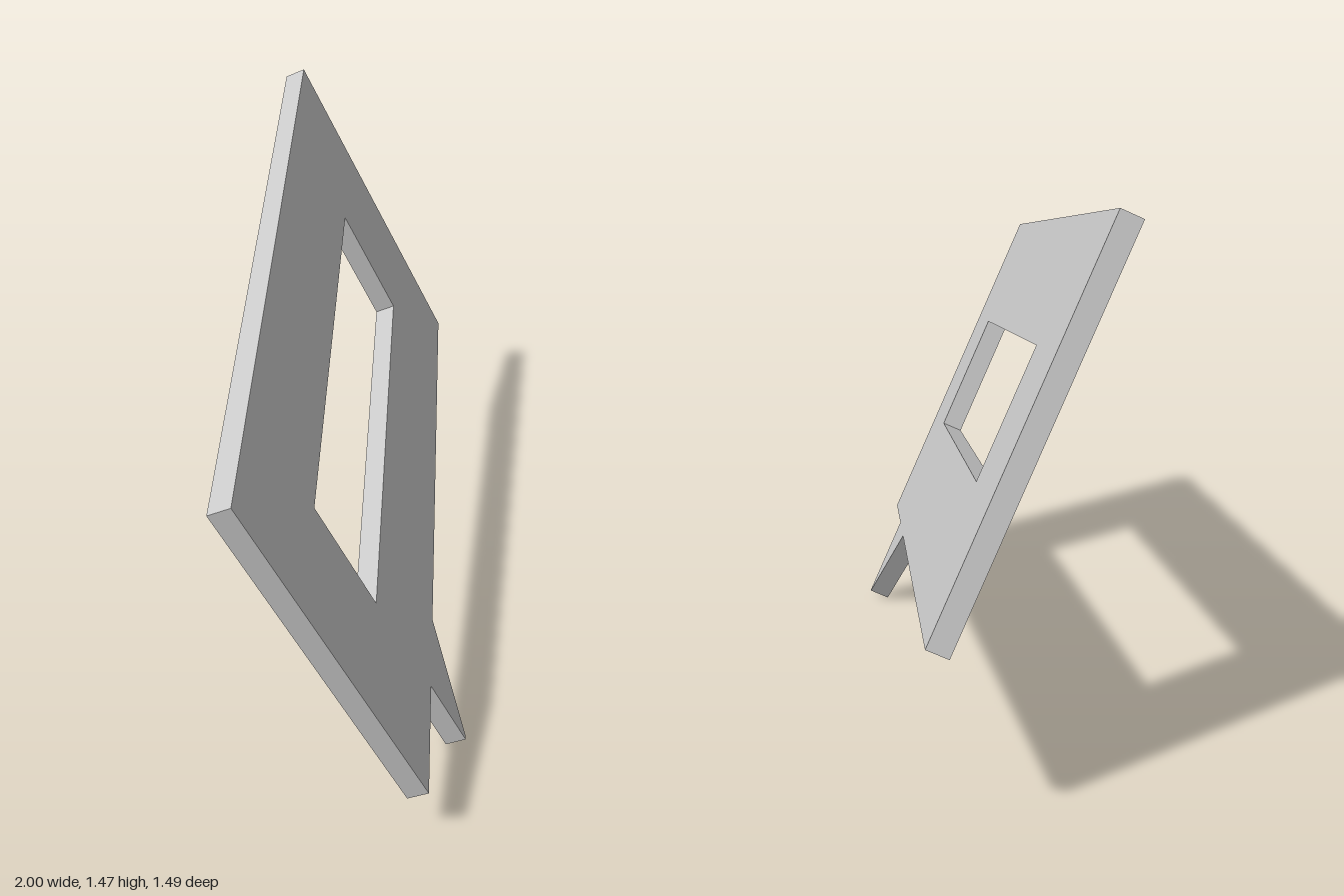
import * as THREE from 'three';

const THICKNESS = 0.06;

// Flat panel: outline in the plane, extruded backwards from z = 0
function makePanel(name, outline, hole) {
  const toPoints = (list) => list.map(([x, y]) => new THREE.Vector2(x, y));
  const shape = new THREE.Shape(toPoints(outline));
  if (hole) shape.holes.push(new THREE.Path(toPoints(hole)));
  const geometry = new THREE.ExtrudeGeometry(shape, { depth: THICKNESS, bevelEnabled: false });
  geometry.translate(0, 0, -THICKNESS);
  const material = new THREE.MeshStandardMaterial({ color: 0xcccccc, flatShading: true });
  const mesh = new THREE.Mesh(geometry, material);
  mesh.name = name;
  return mesh;
}

const rectangle = (x0, y0, x1, y1) => [[x0, y0], [x1, y0], [x1, y1], [x0, y1]];

export function createModel() {
  const model = new THREE.Group();
  model.name = 'tiltedFrame';

  const panel = new THREE.Group();
  panel.name = 'framePanel';

  // Rectangular frame with a long window
  panel.add(makePanel('frame', rectangle(0, 0, 1.995, 1.066), rectangle(0.345, 0.355, 1.645, 0.717)));

  // Pointed tail below the frame, with a narrow blunt tip
  panel.add(makePanel('tail', [[0.35, 0], [0.35, -0.243], [0.362, -0.243], [0.592, 0]]));

  // Tilt: the panel's length and height directions, placed from its lower left corner
  const along = new THREE.Vector3(1.57, 0.33, -1.185).normalize();
  const normal = along.clone().cross(new THREE.Vector3(-0.395, 0.955, -0.26)).normalize();
  const up = normal.clone().cross(along);
  panel.quaternion.setFromRotationMatrix(new THREE.Matrix4().makeBasis(along, up, normal));
  panel.position.set(-0.573, 0.185, 0.745);

  model.add(panel);
  return model;
}
